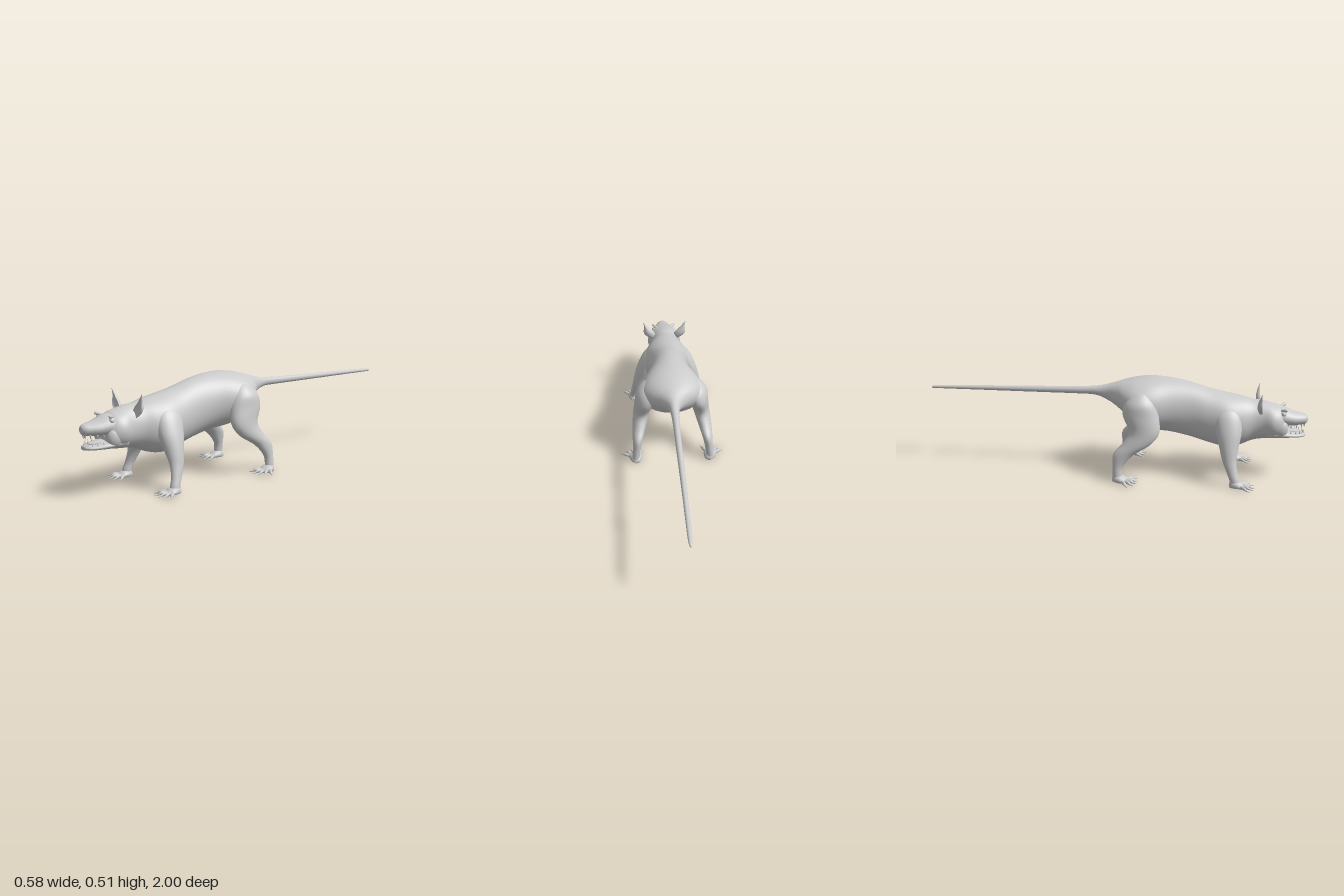
import * as THREE from 'three';

const grey = new THREE.MeshStandardMaterial({ color: 0xcccccc });
const ellipse = (a) => [Math.cos(a), Math.sin(a)];
// hollow front half, for the cupped ears
const crescent = (a) => [Math.cos(a), Math.sin(a) < 0 ? -0.35 * Math.sin(a) : Math.sin(a)];

function spline(rows, t) {
  const i = Math.min(Math.floor(t), rows.length - 2), f = t - i;
  const row = (k) => rows[Math.max(0, Math.min(rows.length - 1, k))];
  const [p, q, r, s] = [row(i - 1), row(i), row(i + 1), row(i + 2)];
  return q.map((v, k) => v + 0.5 * f * (r[k] - p[k]
    + f * (2 * p[k] - 5 * v + 4 * r[k] - s[k] + f * (3 * (v - r[k]) + s[k] - p[k]))));
}

// Smooth skin over rows of [x, y, z, radius 1, radius 2]; axis 'z' runs forward, 'y' runs upward
function loft(name, rows, axis = 'z', { side = 1, sides = 24, steps = 5, ring = ellipse, floor = false } = {}) {
  const pos = [], index = [], n = (rows.length - 1) * steps;
  for (let i = -1; i <= n + 1; i++) {
    const [x, y, z, r1, r2] = spline(rows, Math.max(0, Math.min(n, i)) / steps);
    const open = i < 0 || i > n ? 0 : 1;
    for (let j = 0; j < sides; j++) {
      const [c, s] = ring((j / sides) * Math.PI * 2);
      const u = c * Math.max(r1, 0) * open, v = s * Math.max(r2, 0) * open;
      const py = axis === 'z' ? y + v : y;
      pos.push(side * x + u, floor ? Math.max(0, py) : py, axis === 'z' ? z : z - v);
      if (i <= n) {
        const a = (i + 1) * sides + j, b = (i + 1) * sides + (j + 1) % sides;
        index.push(a, b, b + sides, a, b + sides, a + sides);
      }
    }
  }
  const geo = new THREE.BufferGeometry();
  geo.setAttribute('position', new THREE.Float32BufferAttribute(pos, 3));
  geo.setIndex(index);
  geo.computeVertexNormals();
  const mesh = new THREE.Mesh(geo, grey);
  mesh.name = name;
  return mesh;
}

function place(name, geo, x, y, z) {
  const mesh = new THREE.Mesh(geo, grey);
  mesh.name = name;
  mesh.position.set(x, y, z);
  return mesh;
}

// Flat palm with five spread, clawed toes
function makePaw(name, side, x, z, turn, size) {
  const paw = new THREE.Group();
  paw.name = name;
  paw.add(loft('palm', [[0, 0.008, -0.032, 0.012, 0.01], [0, 0.012, -0.015, 0.026, 0.025],
    [0, 0.011, 0.015, 0.033, 0.022], [0, 0.008, 0.04, 0.03, 0.011], [0, 0.006, 0.05, 0.018, 0.005]],
  'z', { floor: true, sides: 16 }));
  for (const angle of [-0.72, -0.33, 0.03, 0.38, 0.75]) {
    const toe = loft('toe', [[0, 0.009, 0.015, 0.008, 0.009], [0, 0.011, 0.045, 0.008, 0.009],
      [0, 0.01, 0.066, 0.008, 0.008], [0, 0.005, 0.08, 0.004, 0.004], [0, 0.002, 0.098, 0.0005, 0.001]],
    'z', { floor: true, sides: 10, steps: 3 });
    toe.rotation.y = side * angle;
    paw.add(toe);
  }
  paw.position.set(side * x, 0, z);
  paw.rotation.y = side * turn;
  paw.scale.setScalar(size);
  return paw;
}

export function createModel() {
  const model = new THREE.Group();
  model.name = 'rodentBeast';

  // Tail, trunk, neck and skull: [z, top, bottom, half width]
  const trunk = [
    [-1, 0.412, 0.406, 0.002], [-0.96, 0.422, 0.405, 0.01], [-0.7, 0.43, 0.405, 0.012],
    [-0.4, 0.438, 0.405, 0.015], [-0.2, 0.444, 0.405, 0.017], [-0.1, 0.45, 0.402, 0.022],
    [-0.04, 0.461, 0.38, 0.036], [0.01, 0.475, 0.352, 0.072], [0.06, 0.489, 0.315, 0.125],
    [0.12, 0.503, 0.265, 0.165], [0.2, 0.512, 0.235, 0.162], [0.3, 0.507, 0.222, 0.125],
    [0.4, 0.488, 0.2, 0.11], [0.5, 0.458, 0.172, 0.12], [0.59, 0.438, 0.154, 0.136],
    [0.66, 0.425, 0.166, 0.118], [0.72, 0.41, 0.192, 0.092], [0.77, 0.404, 0.203, 0.088],
    [0.82, 0.391, 0.208, 0.099], [0.86, 0.378, 0.213, 0.087], [0.895, 0.345, 0.23, 0.058],
  ];
  model.add(loft('trunkAndTail', trunk.map(([z, t, b, w]) => [0, (t + b) / 2, z, w, (t - b) / 2]),
    'z', { sides: 40 }));

  // Open jaws, tongue and nose
  model.add(loft('upperJaw', [[0, 0.33, 0.8, 0.07, 0.052], [0, 0.326, 0.87, 0.072, 0.05],
    [0, 0.318, 0.925, 0.06, 0.038], [0, 0.316, 0.965, 0.043, 0.03], [0, 0.316, 0.988, 0.03, 0.025],
    [0, 0.317, 1, 0.015, 0.015]]));
  model.add(loft('lowerJaw', [[0, 0.25, 0.8, 0.08, 0.04], [0, 0.24, 0.88, 0.074, 0.023],
    [0, 0.235, 0.94, 0.058, 0.015], [0, 0.234, 0.975, 0.042, 0.012], [0, 0.233, 0.992, 0.02, 0.008]]));
  model.add(loft('tongue', [[0, 0.253, 0.87, 0.035, 0.01], [0, 0.251, 0.93, 0.03, 0.008],
    [0, 0.248, 0.965, 0.014, 0.004]], 'z', { sides: 12 }));
  const nose = place('nose', new THREE.SphereGeometry(0.016, 16, 12), 0, 0.323, 0.987);
  nose.scale.set(1.25, 0.8, 0.7);
  model.add(nose);

  for (const side of [1, -1]) {
    // Nostril, eye, brow and cheek
    const nostril = place('nostril', new THREE.TorusGeometry(0.005, 0.002, 8, 14), side * 0.011, 0.322, 0.996);
    nostril.rotation.y = side * 0.5;
    const eye = place('eye', new THREE.SphereGeometry(0.014, 16, 12), side * 0.056, 0.35, 0.873);
    const brow = place('brow', new THREE.CapsuleGeometry(0.008, 0.035, 4, 10), side * 0.05, 0.366, 0.872);
    brow.rotation.set(1.2, 0, side * -0.7);
    const cheek = place('cheek', new THREE.SphereGeometry(0.04, 18, 14), side * 0.056, 0.275, 0.86);
    cheek.scale.set(0.75, 1.2, 1);
    model.add(nostril, eye, brow, cheek);

    // Teeth: [x, gum height, z, length, radius], negative length hangs down
    for (const [x, y, z, len, r] of [
      [0.008, 0.297, 0.984, -0.024, 0.007], [0.028, 0.295, 0.968, -0.022, 0.005],
      [0.043, 0.292, 0.942, -0.02, 0.005], [0.052, 0.288, 0.915, -0.016, 0.005],
      [0.009, 0.24, 0.982, 0.02, 0.004], [0.02, 0.24, 0.976, 0.02, 0.004],
      [0.033, 0.241, 0.962, 0.024, 0.005], [0.043, 0.243, 0.942, 0.018, 0.005],
      [0.053, 0.246, 0.915, 0.016, 0.005]]) {
      const tooth = place('tooth', new THREE.ConeGeometry(r, Math.abs(len), 8), side * x, y + len / 2, z);
      if (len < 0) tooth.rotation.x = Math.PI;
      model.add(tooth);
    }

    // Pointed, cupped ear
    model.add(loft('ear', [[0.07, 0.352, 0.765, 0.012, 0.014], [0.085, 0.376, 0.763, 0.03, 0.022],
      [0.096, 0.4, 0.76, 0.029, 0.022], [0.109, 0.43, 0.758, 0.0125, 0.014],
      [0.126, 0.466, 0.758, 0.0005, 0.001]], 'y', { side, ring: crescent }));

    // Legs, from the ground up
    model.add(loft('frontLeg', [[0.202, 0.008, 0.642, 0.022, 0.026], [0.201, 0.035, 0.639, 0.022, 0.025],
      [0.194, 0.075, 0.625, 0.021, 0.027], [0.176, 0.13, 0.61, 0.028, 0.036],
      [0.15, 0.19, 0.605, 0.043, 0.048], [0.12, 0.27, 0.6, 0.05, 0.066],
      [0.09, 0.35, 0.59, 0.043, 0.065], [0.06, 0.405, 0.58, 0.02, 0.03]], 'y', { side }));
    model.add(loft('hindLeg', [[0.205, 0.008, 0.047, 0.022, 0.027], [0.205, 0.035, 0.044, 0.021, 0.024],
      [0.199, 0.085, 0.047, 0.022, 0.028], [0.19, 0.145, 0.075, 0.029, 0.053],
      [0.177, 0.2, 0.14, 0.039, 0.073], [0.162, 0.26, 0.175, 0.046, 0.078],
      [0.142, 0.34, 0.155, 0.056, 0.092], [0.122, 0.4, 0.15, 0.066, 0.08],
      [0.105, 0.445, 0.155, 0.045, 0.045], [0.09, 0.465, 0.16, 0.015, 0.015]], 'y', { side }));
    model.add(makePaw('frontPaw', side, 0.202, 0.645, 0.03, 0.98));
    model.add(makePaw('hindPaw', side, 0.205, 0.052, 0.26, 1.05));
  }
  return model;
}
